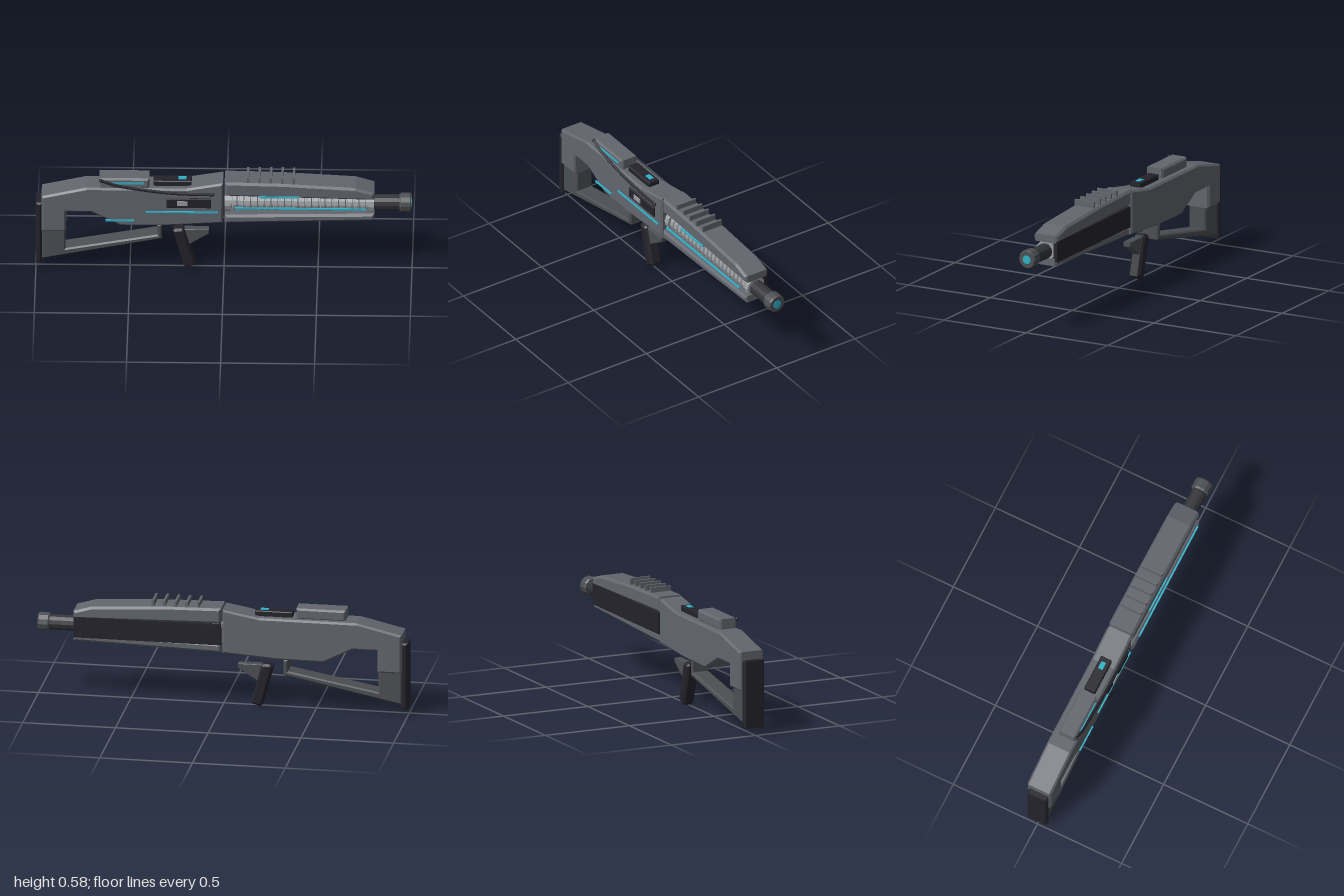
import * as THREE from 'three';

const mat = (name, color) => {
  const m = new THREE.MeshStandardMaterial({ color });
  m.name = name;
  return m;
};

export function createModel() {
  const shell = mat('shell grey', 0x62666d);
  const frame = mat('frame grey', 0x4c4f53);
  const black = mat('rubber black', 0x24232b);
  const gunmetal = mat('barrel dark', 0x343539);
  const steel = mat('light steel', 0x9a9da1);
  const glow = mat('cyan glow', 0x2fb3c9);
  const ZC = -0.006, AXIS_Y = 0.408;
  const model = new THREE.Group();

  const add = (name, geo, material) => {
    const mesh = new THREE.Mesh(geo, material);
    mesh.name = name;
    model.add(mesh);
    return mesh;
  };
  // Side outline extruded across z, with chamfered edges kept inside the outline
  const slab = (name, pts, z0, z1, bevel, material) => {
    const shape = new THREE.Shape(pts.map(p => new THREE.Vector2(...p)));
    const geo = new THREE.ExtrudeGeometry(shape, {
      depth: z1 - z0 - 2 * bevel, bevelEnabled: bevel > 0, bevelSegments: 1,
      bevelThickness: bevel, bevelSize: bevel, bevelOffset: -bevel,
    });
    geo.translate(0, 0, z0 + bevel);
    return add(name, geo, material);
  };
  const block = (name, x0, x1, y0, y1, z0, z1, bevel, material) =>
    slab(name, [[x0, y0], [x1, y0], [x1, y1], [x0, y1]], z0, z1, bevel, material);
  // Faceted turned part along x; profile is [x, radius] from rear to front
  const turned = (name, profile, sides, material) => {
    const lathe = new THREE.LatheGeometry(profile.map(([x, r]) => new THREE.Vector2(r, x)), sides);
    const geo = lathe.toNonIndexed();
    geo.computeVertexNormals();
    geo.rotateZ(-Math.PI / 2).translate(0, AXIS_Y, ZC + 0.002);
    return add(name, geo, material);
  };

  // Receiver and stock
  slab('receiver', [
    [-0.97, 0.245], [-0.84, 0.245], [-0.84, 0.366], [-0.706, 0.366], [-0.55, 0.285], [-0.3, 0.287],
    [-0.004, 0.307], [-0.004, 0.55], [-0.2, 0.515], [-0.73, 0.515], [-0.97, 0.459],
  ], -0.077, 0.064, 0.01, shell);
  slab('stockFrame', [
    [-0.97, 0.065], [-0.33, 0.195], [-0.33, 0.283], [-0.355, 0.283], [-0.355, 0.218],
    [-0.843, 0.128], [-0.843, 0.256], [-0.97, 0.256],
  ], -0.056, 0.046, 0.008, frame);
  block('buttPad', -1, -0.968, 0.045, 0.413, -0.065, 0.055, 0.009, black);

  // Grip and trigger
  slab('grip', [
    [-0.271, 0.232], [-0.255, 0.243], [-0.222, 0.245], [-0.208, 0.236],
    [-0.152, 0.034], [-0.16, 0.019], [-0.2, 0.004], [-0.213, 0.016],
  ], -0.039, 0.029, 0.012, black);
  slab('trigger', [[-0.185, 0.145], [-0.08, 0.213], [-0.08, 0.238], [-0.21, 0.238]],
    -0.025, 0.017, 0.003, frame);

  // Fore-end covers with the rear side panel
  slab('upperForeEnd', [
    [0.004, 0.473], [0.8, 0.456], [0.8, 0.498], [0.7, 0.528], [0.31, 0.55], [0.004, 0.556],
  ], -0.079, 0.066, 0.012, shell);
  slab('lowerForeEnd', [[0.004, 0.307], [0.8, 0.33], [0.8, 0.37], [0.004, 0.356]],
    -0.073, 0.066, 0.012, shell);
  block('sidePanel', 0.004, 0.798, 0.352, 0.466, -0.077, -0.053, 0, black);

  // Ribbed barrel sleeve between two collars
  const ribs = [[0.004, 0], [0.004, 0.055], [0.035, 0.055], [0.035, 0.038]];
  const RIBS = 20, step = 0.72 / RIBS;
  for (let i = 0; i < RIBS; i++) {
    const x = 0.04 + i * step;
    ribs.push([x + 0.004, 0.038], [x + 0.008, 0.048], [x + step - 0.008, 0.048], [x + step - 0.004, 0.038]);
  }
  ribs.push([0.765, 0.038], [0.765, 0.056], [0.798, 0.056], [0.798, 0]);
  turned('ribbedSleeve', ribs, 12, steel);

  // Barrel and muzzle
  turned('barrel', [[0.79, 0], [0.79, 0.042], [0.94, 0.042], [0.94, 0]], 12, gunmetal);
  turned('muzzle', [[0.934, 0], [0.934, 0.045], [0.942, 0.051], [0.99, 0.051], [0.998, 0.046], [0.998, 0]],
    12, frame);
  turned('muzzleGlow', [[0.99, 0], [0.99, 0.024], [1, 0.024], [1, 0]], 12, glow);

  // Cooling fins
  for (let i = 0; i < 5; i++) {
    const x = 0.122 + i * 0.061;
    block('coolingFin', x, x + 0.012, 0.53, 0.581, -0.065, 0.055, 0, steel.color ? shell : steel);
  }

  // Top housing, switch and side controls
  block('topHousing', -0.663, -0.397, 0.51, 0.571, -0.046, 0.056, 0.01, shell);
  block('topSwitch', -0.375, -0.172, 0.505, 0.544, -0.035, 0.029, 0.004, black);
  block('switchLight', -0.243, -0.2, 0.54, 0.548, -0.018, 0.008, 0, glow);
  block('controlPlate', -0.305, -0.067, 0.403, 0.461, 0.06, 0.073, 0.003, black);
  block('controlButton', -0.25, -0.192, 0.42, 0.447, 0.07, 0.078, 0, steel);

  // Cable along the left side
  const path = new THREE.CatmullRomCurve3([
    [-0.655, 0.562, 0.06], [-0.58, 0.538, 0.066], [-0.42, 0.51, 0.069],
    [-0.25, 0.492, 0.071], [-0.06, 0.488, 0.072],
  ].map(p => new THREE.Vector3(...p)));
  add('cable', new THREE.TubeGeometry(path, 24, 0.008, 6), black);
  for (const t of [0, 1]) {
    const end = new THREE.SphereGeometry(0.01, 8, 6);
    end.translate(...path.getPoint(t).toArray());
    add('cableEnd', end, black);
  }

  // Light strips: x0, x1, y, z of the outer face
  for (const [x0, x1, y, z] of [
    [0.06, 0.757, AXIS_Y, 0.08], [0.19, 0.4, 0.474, 0.074], [-0.415, -0.03, 0.376, 0.072],
    [-0.63, -0.478, 0.321, 0.072], [-0.63, -0.425, 0.546, 0.062],
  ]) block('lightStrip', x0, x1, y - 0.004, y + 0.004, z - 0.009, z, 0, glow);

  return model;
}
